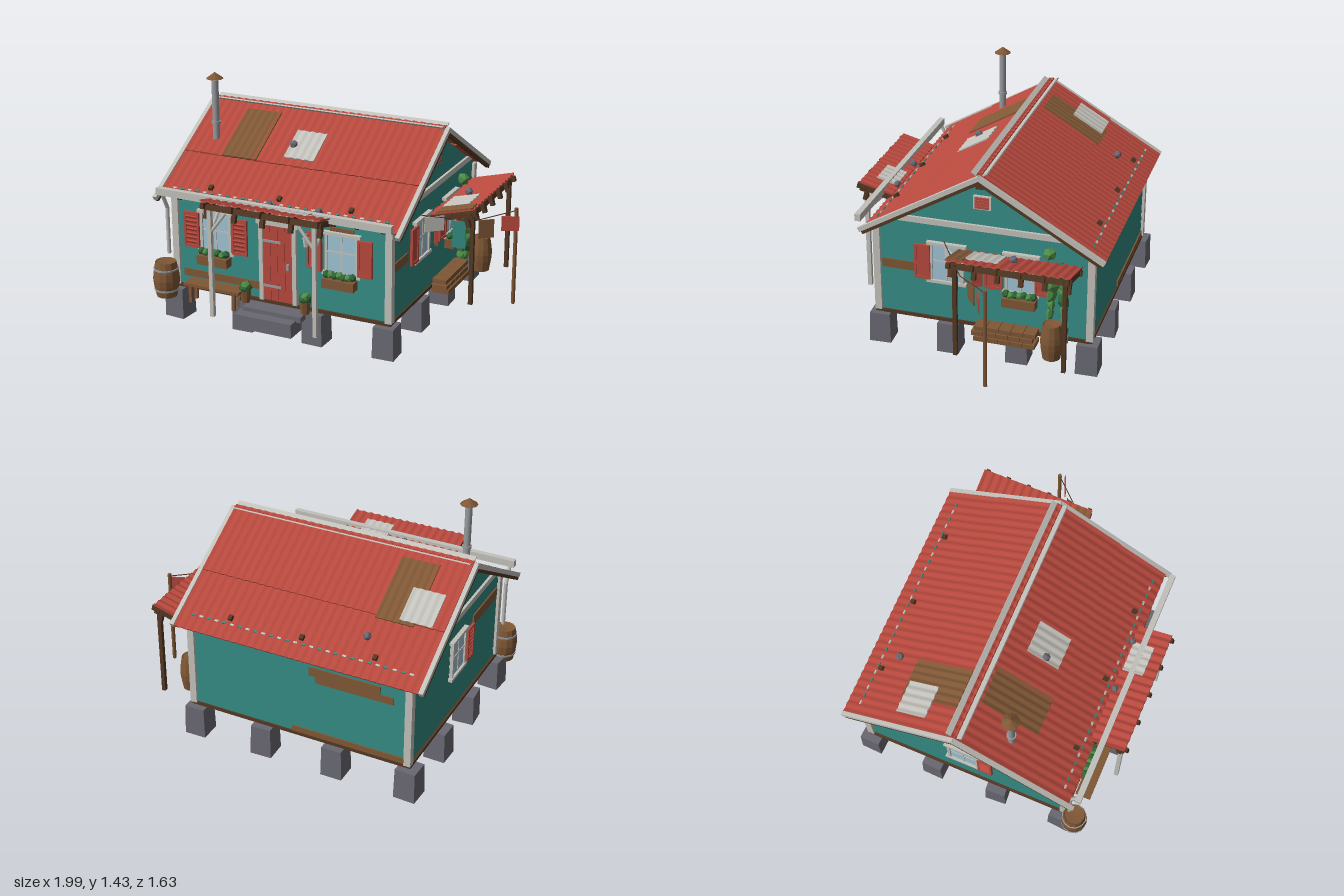
import * as THREE from 'three';

const mat = (name, color) => { const m = new THREE.MeshStandardMaterial({ color }); m.name = name; return m; };
const teal = mat('teal paint', 0x338780), red = mat('red paint', 0xb6483d), white = mat('off white', 0xc2c0ba);
const brown = mat('wood', 0x7f5735), dark = mat('dark wood', 0x533823), stone = mat('stone', 0x696872);
const green = mat('leaf', 0x4f8d48), deep = mat('dark leaf', 0x2f6638), glass = mat('glass', 0x9fc2d4), metal = mat('metal', 0x989b9e);

const flat = (g) => { const f = g.index ? g.toNonIndexed() : g; f.computeVertexNormals(); return f; };
function add(parent, name, geo, m, x = 0, y = 0, z = 0) {
  const o = new THREE.Mesh(geo, m);
  o.name = name; o.position.set(x, y, z); parent.add(o);
  return o;
}
const box = (p, name, m, w, h, d, x, y, z) => add(p, name, new THREE.BoxGeometry(w, h, d), m, x, y, z);
// box given by its limits
const span = (p, name, m, x0, x1, y0, y1, z0, z1) =>
  box(p, name, m, x1 - x0, y1 - y0, z1 - z0, (x0 + x1) / 2, (y0 + y1) / 2, (z0 + z1) / 2);
function group(p, name, x = 0, y = 0, z = 0, ry = 0, rx = 0) {
  const g = new THREE.Group();
  g.name = name; g.position.set(x, y, z); g.rotation.set(rx, ry, 0, 'YXZ'); p.add(g);
  return g;
}
function bend(geo, rule) {
  const a = geo.attributes.position, v = new THREE.Vector3();
  for (let i = 0; i < a.count; i++) { v.fromBufferAttribute(a, i); rule(v); a.setXYZ(i, v.x, v.y, v.z); }
  return flat(geo);
}
let seed = 7;
const rnd = () => (seed = (seed * 16807) % 2147483647) / 2147483647;
function rod(p, name, m, a, b, r) {
  const A = new THREE.Vector3(...a), B = new THREE.Vector3(...b), d = B.clone().sub(A);
  const o = add(p, name, new THREE.CylinderGeometry(r, r, d.length(), 6), m);
  o.position.copy(A).addScaledVector(d, 0.5);
  o.quaternion.setFromUnitVectors(new THREE.Vector3(0, 1, 0), d.normalize());
}
// corrugated metal sheet lying in xz, a whole number of waves wide
function sheet(p, name, m, x0, x1, z0, z1, y, amp = 0.003) {
  const w = x1 - x0, n = Math.round(w / 0.05), g = new THREE.BoxGeometry(w, 0.008, z1 - z0, n * 6, 1, 1);
  return add(p, name, bend(g, (v) => { v.y += amp * Math.cos((v.x / w + 0.5) * n * 2 * Math.PI); }), m, (x0 + x1) / 2, y, (z0 + z1) / 2);
}
function blob(p, name, m, r, x, y, z, sx = 1, sy = 1, sz = 1) {
  const o = add(p, name, flat(new THREE.IcosahedronGeometry(r, 0)), m, x, y, z);
  o.scale.set(sx, sy, sz); o.rotation.y = rnd() * 3;
}
// lapped board, leaning outward at its foot
function lap(p, w0, w1, h, x, y) {
  const g = bend(new THREE.BoxGeometry(1, h, 0.012), (v) => {
    v.x *= v.y > 0 ? w1 : w0;
    if (v.y > 0 && v.z > 0) v.z -= 0.005;
  });
  add(p, 'sidingBoard', g, teal, x, y, 0);
}
function shutter(p, x, w, open, slatted) {
  const s = group(p, 'shutter', x, 0, 0.026, open);
  box(s, 'shutterPanel', red, w, 0.22, 0.01, 0, 0, 0);
  for (const k of [-1, 1]) {
    box(s, 'shutterStile', red, 0.014, 0.22, 0.016, k * (w / 2 - 0.007), 0, 0.003);
    box(s, 'shutterRail', red, w, 0.016, 0.016, 0, k * 0.102, 0.003);
  }
  for (let i = 0; slatted && i < 7; i++) box(s, 'shutterSlat', red, w - 0.02, 0.014, 0.01, 0, -0.078 + i * 0.026, 0.005).rotation.x = 0.5;
}
function flowerBox(p) {
  box(p, 'flowerBox', brown, 0.2, 0.055, 0.06, 0, -0.165, 0.05);
  for (let i = 0; i < 7; i++) blob(p, 'boxPlant', i % 2 ? green : deep, 0.025, -0.08 + i * 0.027, -0.125 + rnd() * 0.012, 0.05);
}
function windowUnit(wall, x, w, shutters, slatted, planted) {
  const g = group(wall, 'window', x, 0.58, 0);
  box(g, 'windowGlass', glass, w, 0.23, 0.006, 0, 0, 0.012);
  for (const k of [-1, 1]) {
    box(g, 'windowJamb', white, 0.018, 0.25, 0.026, k * w / 2, 0, 0.012);
    box(g, 'windowRail', white, w + 0.05, 0.018, 0.032, 0, k * 0.122, 0.014);
  }
  box(g, 'windowMullion', white, 0.01, 0.23, 0.014, 0, 0, 0.012);
  box(g, 'windowBar', white, w, 0.01, 0.014, 0, 0.01, 0.012);
  shutters.forEach(([sx, sw, open]) => shutter(g, sx, sw, open, slatted));
  if (planted) flowerBox(g);
}
const patch = (wall, x0, x1, y0, y1) => span(wall, 'wallPatch', brown, x0, x1, y0, y1, 0.005, 0.013);

function barrel(p, x, y, z, r, hooped) {
  const g = group(p, 'barrel', x, y, z);
  const pts = [[0, 0], [0.78, 0], [0.95, 0.07], [1, 0.11], [0.95, 0.15], [0.78, 0.22], [0.7, 0.215], [0, 0.21]];
  add(g, 'barrelBody', flat(new THREE.LatheGeometry(pts.map(([a, b]) => new THREE.Vector2(a * r, b)), 12)), brown);
  for (const h of hooped ? [0.045, 0.175] : [])
    add(g, 'barrelHoop', new THREE.CylinderGeometry(r * 0.9 + 0.004, r * 0.9 + 0.004, 0.01, 12), metal, 0, h, 0);
}
// small corrugated roof on rafters, rising outward along +z
function leanTo(p, name, x, y, z, ry, w, len, n) {
  const g = group(p, name, x, y, z, ry, -0.26);
  sheet(g, 'leanToSheet', red, -w / 2, w / 2, 0, len, 0.012, 0.005);
  for (let i = 0; i < n; i++) {
    const rx = -w / 2 + 0.02 + i * (w - 0.04) / (n - 1);
    span(g, 'leanToRafter', dark, rx - 0.011, rx + 0.011, -0.03, 0.004, -0.02, len + 0.01);
    span(g, 'rafterBlock', dark, rx - 0.013, rx + 0.013, -0.09, -0.025, len - 0.07, len - 0.045);
  }
  span(g, 'leanToBeam', dark, -w / 2, w / 2, -0.035, -0.004, len - 0.045, len - 0.015);
  span(g, 'leanToLedger', dark, -w / 2, w / 2, -0.035, -0.004, 0, 0.025);
  return g;
}

export function createModel() {
  const root = new THREE.Group();
  root.name = 'cabin';
  const Z0 = -0.72, Z1 = 0.565, X0 = -0.875, X1 = 0.505, ZC = -0.08, SLOPE = 0.583;

  // foundation and floor
  const bx = [-0.88, -0.42, 0.04, 0.485], bz = [0.555, 0.13, -0.29, -0.71];
  bx.forEach((x, i) => bz.forEach((z, j) => {
    if (i % 3 && j % 3) return;
    const g = bend(new THREE.BoxGeometry(0.13, 0.19, 0.13), (v) => { const k = v.y < 0 ? 1.02 : 0.95; v.x *= k; v.z *= k; });
    add(root, 'foundationBlock', g, stone, x, 0.095, z).rotation.y = (rnd() - 0.5) * 0.16;
  }));
  span(root, 'floorSlab', dark, X0 - 0.02, X1 + 0.015, 0.195, 0.215, Z0 - 0.015, Z1 + 0.02);
  for (let z = Z0; z < Z1 - 0.03; z += 0.06) span(root, 'floorPlank', dark, X0 - 0.015, X1 + 0.01, 0.19, 0.2, z, z + 0.057);
  span(root, 'lowerStep', stone, -0.4, -0.03, 0.08, 0.165, 0.57, 0.745);
  span(root, 'upperStep', stone, -0.38, 0, 0.155, 0.19, 0.57, 0.68);

  // wall core with gables
  const s = new THREE.Shape([[-Z1, 0.21], [-Z0, 0.21], [-Z0, 0.785], [-ZC, 1.16], [-Z1, 0.785]].map((q) => new THREE.Vector2(...q)));
  const core = add(root, 'wallCore', new THREE.ExtrudeGeometry(s, { depth: X1 - X0, bevelEnabled: false }), teal, X0, 0, 0);
  core.rotation.y = Math.PI / 2;

  // four walls, each facing its own +z
  const front = group(root, 'frontWall', 0, 0, Z1), back = group(root, 'backWall', 0, 0, Z0, Math.PI);
  const left = group(root, 'leftWall', X1, 0, 0, Math.PI / 2), right = group(root, 'rightWall', X0, 0, 0, -Math.PI / 2);
  const H = 0.0575, xm = (X0 + X1) / 2, zm = (Z0 + Z1) / 2;
  const wide = (h) => Math.max(0.01, Math.min(Z1 - Z0, 2 * (1.155 - h) / SLOPE));
  for (let i = 0; i < 16; i++) {
    const y = 0.212 + i * H;
    if (i < 10) { lap(front, X1 - X0, X1 - X0, H, xm, y + H / 2); lap(back, X1 - X0, X1 - X0, H, -xm, y + H / 2); }
    lap(left, wide(y), wide(y + H), H, i < 10 ? -zm : -ZC, y + H / 2);
    lap(right, wide(y), wide(y + H), H, i < 10 ? zm : ZC, y + H / 2);
  }
  for (const x of [X0, X1]) for (const z of [Z0, Z1]) box(root, 'cornerPost', white, 0.042, 0.565, 0.042, x, 0.4925, z);
  for (const [w, k] of [[left, -1], [right, 1]]) {
    // band ends cut to the roof pitch
    const band = bend(new THREE.BoxGeometry(1, 0.035, 0.022), (v) => { v.x *= 2 * (1.155 - 0.838 - v.y) / SLOPE; });
    add(w, 'gableBand', band, white, k * ZC, 0.838, 0.01);
    box(w, 'ventFrame', white, 0.105, 0.082, 0.024, k * ZC, 1, 0.008);
    for (let i = 0; i < 4; i++) box(w, 'ventSlat', red, 0.085, 0.015, 0.008, k * ZC, 0.973 + i * 0.018, 0.021);
  }

  // windows and wall patches
  windowUnit(front, -0.6, 0.19, [[-0.155, 0.1, 0], [0.165, 0.1, 0]], true, true);
  windowUnit(front, 0.215, 0.19, [[-0.165, 0.11, -0.3], [0.15, 0.09, 0]], false, true);
  windowUnit(left, -0.135, 0.19, [[-0.145, 0.095, 0], [0.185, 0.06, 0.5]], false, false);
  windowUnit(left, 0.31, 0.17, [[-0.16, 0.105, 0], [0.135, 0.1, 0]], false, true);
  windowUnit(right, -0.08, 0.18, [[0.145, 0.09, 0]], true, false);
  patch(front, -0.83, -0.31, 0.27, 0.315); patch(front, -0.68, -0.53, 0.713, 0.735); patch(front, 0.14, 0.29, 0.713, 0.735);
  patch(left, -0.535, -0.33, 0.5, 0.555); patch(right, 0.15, 0.52, 0.64, 0.71);
  patch(back, 0.26, 0.7, 0.625, 0.68); patch(back, 0.3, 0.78, 0.585, 0.63);
  patch(back, 0.15, 0.85, 0.215, 0.25);

  // door
  const door = group(front, 'door', -0.19, 0, 0);
  for (let i = 0; i < 4; i++) box(door, 'doorPlank', red, 0.045, 0.47, 0.02, -0.0705 + i * 0.047, 0.455, 0.014);
  for (const k of [-1, 1]) box(door, 'doorJamb', white, 0.026, 0.5, 0.036, k * 0.108, 0.465, 0.012);
  box(door, 'doorLintel', white, 0.27, 0.04, 0.038, 0, 0.71, 0.014);
  box(door, 'doorHood', white, 0.32, 0.03, 0.045, 0, 0.755, 0.016);
  for (const y of [0.59, 0.31]) box(door, 'doorHinge', metal, 0.125, 0.014, 0.008, -0.04, y, 0.026);
  box(door, 'doorHandle', metal, 0.014, 0.035, 0.02, 0.07, 0.45, 0.03);

  // main roof: two corrugated slopes crossing at the ridge
  const A = Math.atan(SLOPE);
  for (const k of [1, -1]) {
    const g = group(root, 'roofSlope', 0, 1.18, ZC, k > 0 ? 0 : Math.PI, A);
    const lim = (a, b) => (k > 0 ? [a, b] : [-b, -a]);
    const [a, b] = lim(-0.955, 0.57), end = k > 0 ? 0.805 : 0.84;
    sheet(g, 'upperRoofSheet', red, a, b, -0.022, 0.45, 0.007);
    sheet(g, 'lowerRoofSheet', red, a, b, 0.4, end, 0);
    span(g, 'ridgeCap', white, ...lim(-0.95, 0.57), -0.004, 0.004, -0.055, -0.02);
    for (const x of [-0.97, 0.582]) {
      span(g, 'rakeBoard', white, ...lim(x - 0.013, x + 0.013), -0.014, 0.013, -0.01, 0.84);
      span(g, 'rakeBeam', dark, ...lim(x - 0.011, x + 0.011), -0.034, -0.014, 0, 0.83);
    }
    for (let i = 0; i < 9; i++) {
      const x = -0.84 + i * 0.164;
      span(g, 'rafterTail', dark, ...lim(x - 0.014, x + 0.014), -0.04, -0.006, 0.68, end - 0.015);
    }
    for (const x of [-0.65, -0.2, 0.255]) span(g, 'roofPeg', dark, ...lim(x - 0.012, x + 0.012), 0, 0.025, 0.69, 0.72);
    // row of fixings above the wall line
    for (let i = 0; i < 28; i++) {
      const x = -0.88 + i * 0.0505;
      span(g, 'eaveFixing', i % 2 ? teal : white, ...lim(x - 0.012, x + 0.012), 0, 0.0085, 0.736, 0.747);
    }
    // repair sheets
    const [p0, p1] = k > 0 ? [-0.7, -0.47] : [0.55, 0.78], [q0, q1] = k > 0 ? [-0.305, -0.11] : [0.69, 0.885];
    sheet(g, 'roofPatch', brown, p0, p1, 0.06, k > 0 ? 0.45 : 0.47, 0.012);
    sheet(g, 'palePatch', white, q0, q1, k > 0 ? 0.18 : 0.235, k > 0 ? 0.4 : 0.45, 0.018);
    blob(g, 'roofStone', stone, 0.026, k > 0 ? -0.28 : 0.56, 0.028, k > 0 ? 0.3 : 0.6);
  }
  for (const x of [-0.91, 0.54]) box(root, 'ridgeBeam', dark, 0.06, 0.05, 0.045, x, 1.13, ZC);

  // gutter and downspout
  span(root, 'gutter', white, -0.94, 0.56, 0.795, 0.838, 0.645, 0.68);
  rod(root, 'downspout', white, [-0.91, 0.41, 0.61], [-0.91, 0.7, 0.61], 0.012);
  rod(root, 'downspoutElbow', white, [-0.91, 0.7, 0.61], [-0.91, 0.8, 0.66], 0.012);

  // chimney pipe
  add(root, 'chimneyPipe', new THREE.CylinderGeometry(0.021, 0.021, 0.37, 12), metal, -0.8, 1.2, 0.2);
  add(root, 'chimneyCollar', new THREE.CylinderGeometry(0.028, 0.028, 0.014, 12), metal, -0.8, 1.125, 0.2);
  add(root, 'chimneyCap', flat(new THREE.ConeGeometry(0.052, 0.038, 10)), brown, -0.8, 1.415, 0.2);

  // front porch
  const porch = leanTo(root, 'porchRoof', -0.19, 0.787, 0.595, 0, 0.76, 0.215, 5);
  sheet(porch, 'porchPatch', white, 0.085, 0.27, 0.015, 0.145, 0.024);
  blob(porch, 'roofStone', stone, 0.024, -0.04, 0.032, 0.02); blob(porch, 'roofStone', stone, 0.022, 0.27, 0.037, 0.01);
  for (const [x, k] of [[-0.525, 1], [0.14, -1]]) {
    span(root, 'porchPost', white, x - 0.012, x + 0.012, 0.138, 0.805, 0.758, 0.784);
    rod(root, 'porchBrace', white, [x, 0.66, 0.77], [x + k * 0.1, 0.79, 0.77], 0.01);
    rod(root, 'porchBrace', white, [x, 0.66, 0.77], [x, 0.78, 0.65], 0.009);
  }

  // side awning
  const awning = leanTo(root, 'sideAwning', 0.525, 0.672, -0.31, Math.PI / 2, 0.72, 0.285, 6);
  sheet(awning, 'awningPatch', white, -0.26, -0.07, 0.05, 0.22, 0.024);
  sheet(awning, 'awningPatch', brown, -0.355, -0.26, 0.05, 0.275, 0.022);
  blob(awning, 'roofStone', stone, 0.026, -0.01, 0.034, 0.13);
  blob(awning, 'awningPlant', green, 0.04, 0.17, 0.07, 0.03);
  for (const z of [0, -0.635]) span(root, 'awningPost', dark, 0.768, 0.792, 0.15, 0.735, z - 0.012, z + 0.012);

  // clothesline
  const line = [[0.52, 0.72, 0.15], [0.78, 0.665, -0.03], [0.965, 0.69, -0.235]];
  rod(root, 'clothesline', dark, line[0], line[1], 0.003);
  rod(root, 'clothesline', dark, line[1], line[2], 0.003);
  rod(root, 'linePole', brown, [0.965, 0.095, -0.235], [0.965, 0.705, -0.235], 0.012);
  for (const [x, y, z, w, h, m, turn] of [[0.58, 0.66, 0.1, 0.12, 0.09, white, 0.7], [0.705, 0.585, 0.02, 0.08, 0.165, teal, 0.08],
    [0.825, 0.595, -0.11, 0.095, 0.115, brown, 0.7], [0.945, 0.62, -0.19, 0.105, 0.09, red, 0.4]])
    box(root, 'laundry', m, w, h, 0.006, x, y, z).rotation.y = turn;

  // barrels, pots, bench, lamp, woodpile
  barrel(root, -0.915, 0.15, 0.645, 0.08, true);
  barrel(root, 0.65, 0.15, -0.53, 0.067, false);
  for (const x of [-0.39, 0]) {
    add(root, 'plantPot', flat(new THREE.CylinderGeometry(0.036, 0.026, 0.075, 8)), brown, x, 0.232, 0.62);
    blob(root, 'pottedPlant', deep, 0.042, x, 0.285, 0.62);
    blob(root, 'pottedPlant', green, 0.03, x + 0.012, 0.305, 0.635);
  }
  span(root, 'benchSeat', brown, -0.77, -0.4, 0.255, 0.272, 0.595, 0.69);
  for (const x of [-0.73, -0.44]) for (const z of [0.61, 0.675]) box(root, 'benchLeg', brown, 0.02, 0.11, 0.018, x, 0.205, z);
  add(root, 'lampBody', flat(new THREE.CylinderGeometry(0.018, 0.014, 0.05, 6)), white, 0.005, 0.63, 0.61);
  add(root, 'lampCap', flat(new THREE.ConeGeometry(0.026, 0.02, 6)), metal, 0.005, 0.665, 0.61);
  span(root, 'lampArm', metal, 0, 0.01, 0.67, 0.678, 0.565, 0.615);
  for (let r = 0; r < 3; r++) for (let i = 0; i < 5; i++) {
    const z = -0.42 + i * 0.074 + (r % 2) * 0.016;
    span(root, 'firewood', brown, 0.515, 0.62 - r * 0.008, 0.157 + r * 0.03, 0.185 + r * 0.03, z, z + 0.071);
  }

  // climbing vine: a narrow stem spreading toward the eave
  for (let i = 0; i < 15; i++) {
    const t = i / 14, r = 0.03 + t * 0.022;
    blob(root, 'vineLeaves', i % 6 === 2 ? deep : green, r, 0.53, 0.21 + t * 0.43, (i % 2 ? -0.475 : -0.575) - t * 0.02 * (i % 2 ? 1.5 : -1), 0.6, 1.25, 1);
  }
  return root;
}
